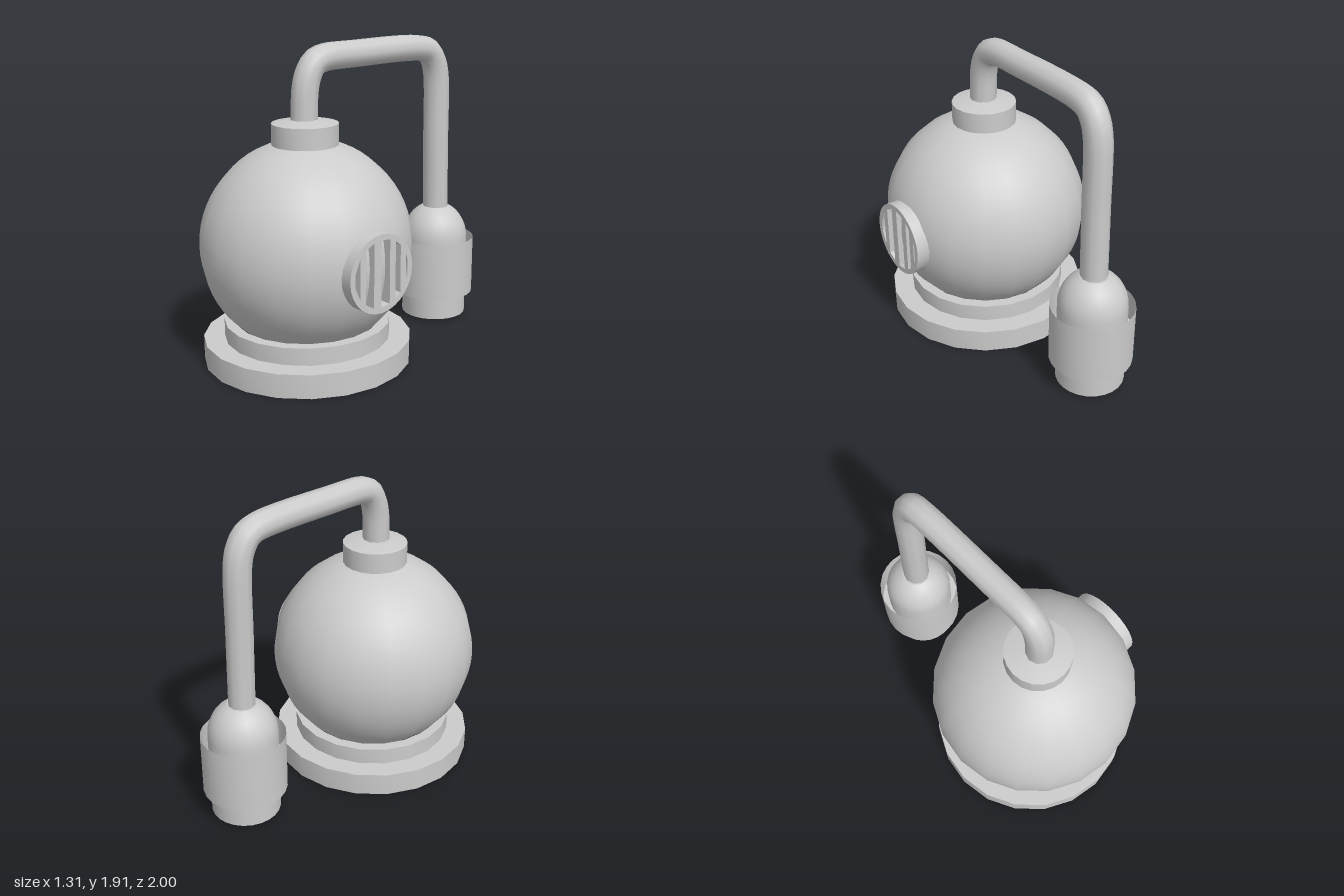
import * as THREE from 'three';
import { toCreasedNormals } from 'three/addons/utils/BufferGeometryUtils.js';

const material = new THREE.MeshStandardMaterial({ color: 0xcccccc, side: THREE.DoubleSide });
const CX = -0.016, BODY_Z = 0.355, CUP_Z = -0.742;

function add(group, name, geometry, x = 0, y = 0, z = 0) {
  const mesh = new THREE.Mesh(geometry, material);
  mesh.name = name;
  mesh.position.set(x, y, z);
  group.add(mesh);
  return mesh;
}

// Revolved [radius, height] profile with sharp corners kept
function turned(profile, sides) {
  const points = profile.map(([r, y]) => new THREE.Vector2(r, y));
  return toCreasedNormals(new THREE.LatheGeometry(points, sides), 0.55);
}

// Round disc pierced by vertical slots, extruded along +z
function grilleGeometry(radius, slotRadius, depth) {
  const disc = new THREE.Shape();
  disc.absarc(0, 0, radius, 0, Math.PI * 2);
  const half = (x) => Math.sqrt(slotRadius ** 2 - x ** 2);
  const slots = [[-0.195, -0.158], [-0.117, -0.058], [-0.004, 0.06], [0.103, 0.141], [0.183, 0.195]];
  for (const [a, b] of slots) {
    disc.holes.push(new THREE.Path([
      new THREE.Vector2(a, -half(a)), new THREE.Vector2(a, half(a)),
      new THREE.Vector2(b, half(b)), new THREE.Vector2(b, -half(b)),
    ]));
  }
  const geometry = new THREE.ExtrudeGeometry(disc, { depth, bevelEnabled: false, curveSegments: 14 });
  return toCreasedNormals(geometry, 0.5);
}

export function createModel() {
  const model = new THREE.Group();
  model.name = 'globeVessel';

  // Round vessel
  add(model, 'globe', new THREE.SphereGeometry(0.642, 20, 32), CX, 0.72, BODY_Z);

  // Stepped hollow foot, open underneath
  add(model, 'steppedBase', turned(
    [[0.635, 0], [0.635, 0.145], [0.507, 0.145], [0.507, 0.25], [0.44, 0.25]], 20), CX, 0, BODY_Z);

  // Collar with a gently sloped lid
  add(model, 'neck', turned([[0.2, 1.28], [0.2, 1.457], [0.07, 1.482], [0, 1.482]], 20), CX, 0, BODY_Z);

  // Slotted vent on the left side
  const grille = add(model, 'ventGrille', grilleGeometry(0.232, 0.199, 0.1), 0.555, 0.697, 0.347);
  grille.rotation.y = Math.PI / 2;

  // Pipe from the neck, over and down to the rear cup
  const path = [
    [1.46, 0.362], [1.658, 0.351], [1.745, 0.325], [1.8, 0.285], [1.825, 0.22], [1.832, -0.02],
    [1.824, -0.575], [1.797, -0.65], [1.738, -0.695], [1.647, -0.722], [1.2, -0.733], [0.74, -0.741],
  ].map(([y, z]) => new THREE.Vector3(CX, y, z));
  add(model, 'pipe', new THREE.TubeGeometry(new THREE.CatmullRomCurve3(path), 64, 0.083, 10));

  // Domed inner canister, open at the bottom
  const canister = [[0.212, 0.025], [0.212, 0.555]];
  for (let i = 1; i <= 7; i++) {
    const a = i * 0.162;
    canister.push([0.212 * Math.cos(a), 0.555 + 0.23 * Math.sin(a)]);
  }
  canister.push([0, 0.763]);
  add(model, 'canister', turned(canister, 24), CX, 0, CUP_Z);

  // Outer sleeve, open at both ends, joined to the canister by an inner web
  add(model, 'sleeve', turned([[0.257, 0.175], [0.257, 0.555]], 24), CX, 0, CUP_Z);
  add(model, 'sleeveWeb', turned([[0.257, 0.365], [0.212, 0.365]], 24), CX, 0, CUP_Z);

  return model;
}
